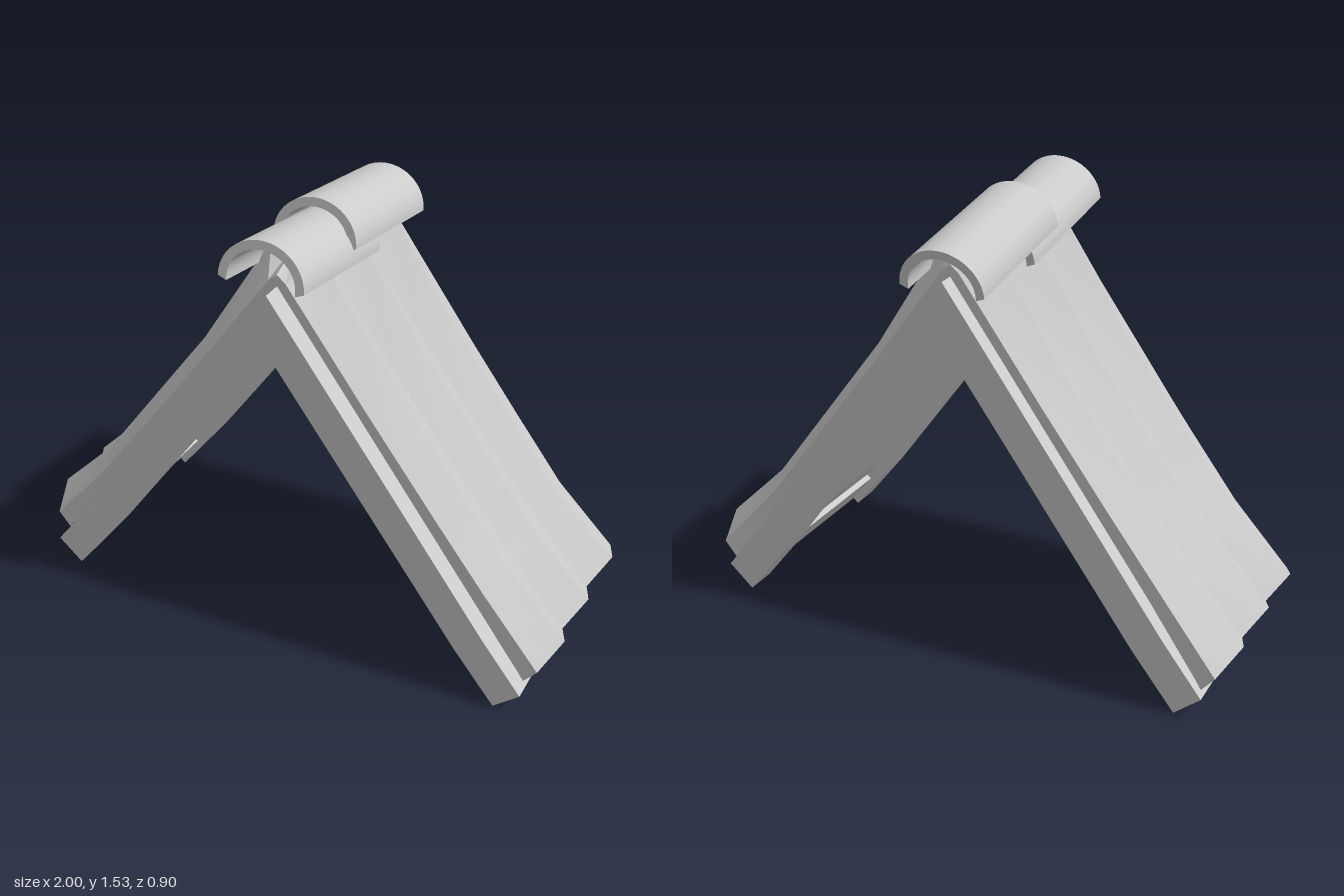
import * as THREE from 'three';
import { toCreasedNormals } from 'three/addons/utils/BufferGeometryUtils.js';

const material = new THREE.MeshStandardMaterial({ color: 0xcccccc });

// Half profile of the gable frame, from ridge to eave
const OUTER = [[0, 1.34], [0.78, 0.26], [0.92, 0.08]];
const INNER = [[0, 1.13], [0.68, 0.19], [0.83, 0]];
const mix = (a, b, k) => a.map((v, i) => v + (b[i] - v) * k);
const between = (i, k) => mix(OUTER[i], INNER[i], k);

function addMesh(group, name, geometry) {
  const mesh = new THREE.Mesh(geometry, material);
  mesh.name = name;
  group.add(mesh);
  return mesh;
}

function extrudeZ(points, z0, z1) {
  const shape = new THREE.Shape(points.map(([x, y]) => new THREE.Vector2(x, y)));
  const geometry = new THREE.ExtrudeGeometry(shape, { depth: z1 - z0, bevelEnabled: false });
  return geometry.translate(0, 0, z0);
}

// Chevron over both slopes; k is the share of the full frame depth
function chevron(k, z0, z1) {
  const low = [0, 1, 2].map((i) => between(i, k));
  const mirror = ([x, y]) => [-x, y];
  const points = [
    ...OUTER, low[2], low[1], low[0],
    mirror(low[1]), mirror(low[2]), mirror(OUTER[2]), mirror(OUTER[1]),
  ];
  return extrudeZ(points, z0, z1);
}

// Stations down the slope: base point, normal, ridge height, valley height
const STATIONS = [
  { base: [0, 1.34], n: [0, 1], peak: 0.09, valley: 0.04 },
  { base: [0.01, 1.326], n: [0.6, 0.8], peak: 0.125, valley: 0.035 },
  { base: [0.28, 0.952], n: [0.81, 0.587], peak: 0.088, valley: 0.035 },
  { base: [0.53, 0.606], n: [0.81, 0.587], peak: 0.095, valley: 0.042 },
  { base: [0.71, 0.357], n: [0.79, 0.61], peak: 0.1, valley: 0.05 },
  { base: [0.91, 0.1], n: [0.633, 0.774], peak: 0.142, valley: 0.07 },
];
const Z_TOP = [0.35, 0.23, 0.11, -0.005, -0.125, -0.24, -0.365];
const Z_EAVE = [0.365, 0.24, 0.12, 0, -0.13, -0.26, -0.395];

// Lofts a zigzag section down one slope. Heights come from top() and bottom().
function corrugated(side, top, bottom, setback) {
  const rows = Z_TOP.length, loop = rows * 2;
  const positions = [], index = [];
  STATIONS.forEach((s, i) => {
    const last = i === STATIONS.length - 1;
    const back = last ? setback : 0;
    for (let j = 0; j < loop; j++) {
      const r = j < rows ? j : loop - 1 - j;
      const h = (j < rows ? top : bottom)(s, r);
      const z = last ? Z_EAVE[r] : Z_TOP[r];
      positions.push(
        side * (s.base[0] + s.n[0] * h - back * 0.6),
        s.base[1] + s.n[1] * h + back * 0.8, z);
    }
  });
  const tri = (a, b, c) => index.push(...(side > 0 ? [a, b, c] : [a, c, b]));
  // Skin
  for (let i = 0; i < STATIONS.length - 1; i++) {
    for (let j = 0; j < loop; j++) {
      const a = i * loop + j, d = i * loop + (j + 1) % loop;
      tri(a, a + loop, d);
      tri(d, a + loop, d + loop);
    }
  }
  // Eave end; the ridge end meets the other slope
  const e = (STATIONS.length - 1) * loop;
  for (let j = 0; j < rows - 1; j++) {
    const b0 = loop - 1 - j, b1 = b0 - 1;
    tri(e + j, e + b0, e + j + 1);
    tri(e + j + 1, e + b0, e + b1);
  }
  const geometry = new THREE.BufferGeometry();
  geometry.setAttribute('position', new THREE.Float32BufferAttribute(positions, 3));
  geometry.setIndex(index);
  return toCreasedNormals(geometry, 0.4);
}

const sheetTop = (s, r) => (r % 2 ? s.peak : s.valley);
const sheetBottom = (s, r) => {
  if (r === 0 || r === Z_TOP.length - 1) return 0;
  return sheetTop(s, r) - (r % 2 ? 0.06 : 0.035);
};

// Half-round ridge tile with slanted lower edges
function ridgeTile() {
  const shape = new THREE.Shape();
  shape.absellipse(0, 0, 0.15, 0.14, 0, Math.PI, false);
  shape.lineTo(-0.12, -0.012);
  shape.absellipse(0, 0, 0.12, 0.11, Math.PI, 0, true);
  shape.lineTo(0.12, -0.012);
  const geometry = new THREE.ExtrudeGeometry(shape, { depth: 0.53, bevelEnabled: false, curveSegments: 16 });
  return toCreasedNormals(geometry.translate(0, 0, -0.265), 0.4);
}

export function createModel() {
  const model = new THREE.Group();
  model.name = 'roofSection';

  // Gable rafters and the thinner ceiling between them
  addMesh(model, 'frontRafters', chevron(1, 0.31, 0.42));
  addMesh(model, 'backRafters', chevron(1, -0.42, -0.31));
  addMesh(model, 'ceilingPanel', chevron(0.6, -0.31, 0.31));

  for (const side of [1, -1]) {
    const label = side > 0 ? 'left' : 'right';

    // Rail along the eave
    const rail = [
      mix(between(1, 0.5), between(2, 0.5), 0.4), between(2, 0.5),
      between(2, 0.78), mix(between(1, 0.78), between(2, 0.78), 0.4),
    ].map(([x, y]) => [side * x, y]);
    addMesh(model, label + 'EaveRail', extrudeZ(rail, -0.31, 0.31));

    // Corrugated covering and the bedding under it
    addMesh(model, label + 'RoofSheet', corrugated(side, sheetTop, sheetBottom, 0));
    addMesh(model, label + 'Bedding', corrugated(side, sheetBottom, () => 0, 0.02));
  }

  // Overlapping ridge tiles, tipped towards the back
  [['front', 0.19, 1.352], ['back', -0.16, 1.35]].forEach(([label, z, y]) => {
    const tile = addMesh(model, label + 'RidgeTile', ridgeTile());
    tile.position.set(0, y, z);
    tile.rotation.x = -0.155;
  });

  return model;
}
